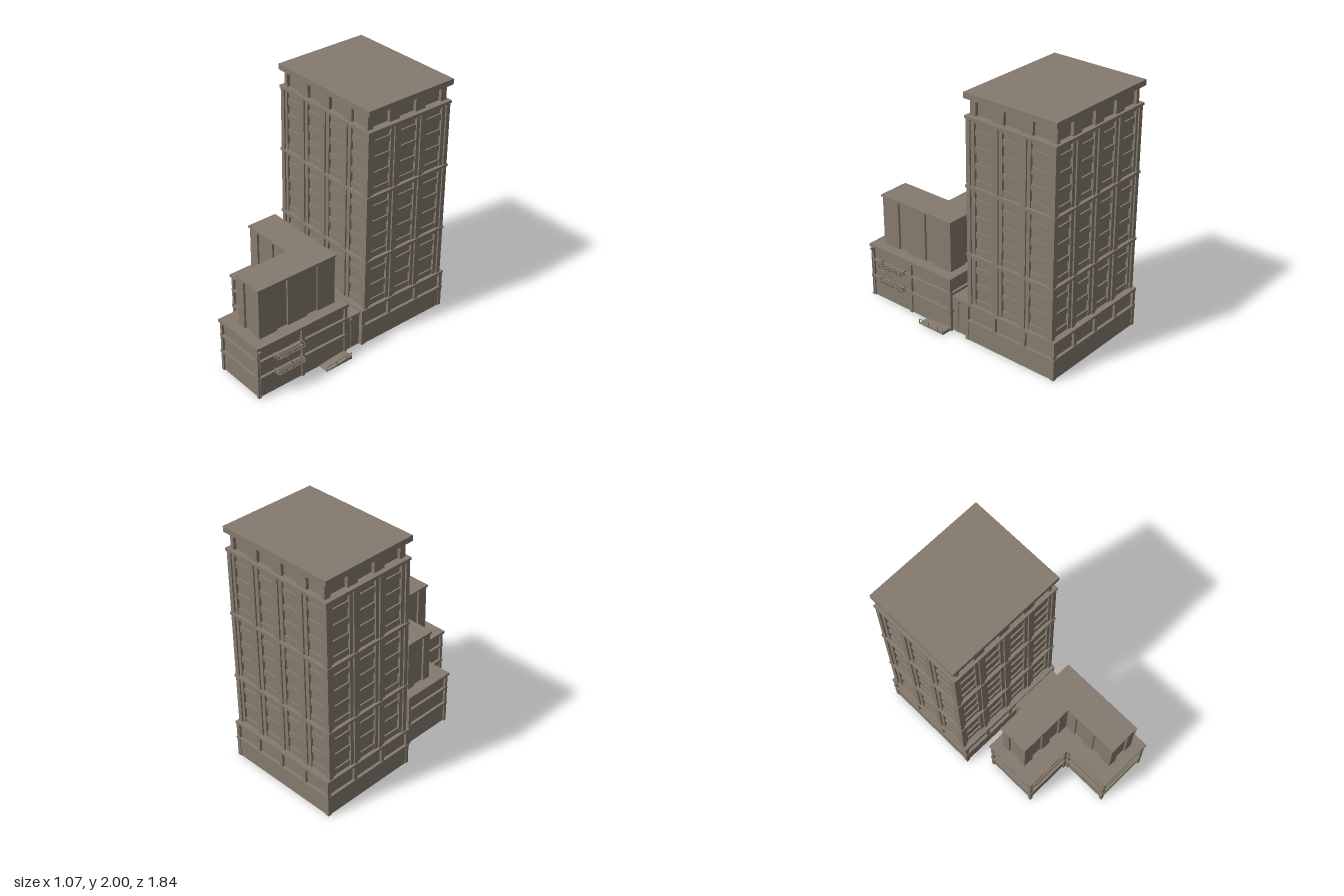
import * as THREE from 'three';
import { mergeGeometries } from 'three/addons/utils/BufferGeometryUtils.js';

const stone = new THREE.MeshStandardMaterial({ color: 0x857a6e });
stone.name = 'stone';

// Box geometry from its limits
function box(xa, xb, ya, yb, za, zb) {
  const g = new THREE.BoxGeometry(Math.abs(xb - xa), Math.abs(yb - ya), Math.abs(zb - za));
  return g.translate((xa + xb) / 2, (ya + yb) / 2, (za + zb) / 2);
}

// Square bar between two points
function bar(a, b, r = 0.002) {
  const p = new THREE.Vector3(...a), d = new THREE.Vector3(...b).sub(p);
  const g = new THREE.BoxGeometry(r * 2, r * 2, d.length());
  g.applyQuaternion(new THREE.Quaternion().setFromUnitVectors(new THREE.Vector3(0, 0, 1), d.clone().normalize()));
  return g.translate(p.x + d.x / 2, p.y + d.y / 2, p.z + d.z / 2);
}

// Footprints run front left, front right, back right, back left
const rect = (xa, xb, za, zb) => [[xa, zb], [xb, zb], [xb, za], [xa, za]];
const ell = (xa, xi, xb, za, zi, zb) => [[xa, zi], [xi, zi], [xi, zb], [xb, zb], [xb, za], [xa, za]];

// Edges of a footprint with direction and outward normal
function edges(pts) {
  return pts.map((p, i) => {
    const q = pts[(i + 1) % pts.length];
    const len = Math.hypot(q[0] - p[0], q[1] - p[1]);
    const d = [(q[0] - p[0]) / len, (q[1] - p[1]) / len];
    return { p, d, n: [-d[1], d[0]], len };
  });
}

// Box on a wall: ua..ub along it, ya..yb up, da..db outward
function onWall(e, ua, ub, ya, yb, da, db) {
  const at = (u, d) => [e.p[0] + e.d[0] * u + e.n[0] * d, e.p[1] + e.d[1] * u + e.n[1] * d];
  const a = at(ua, da), b = at(ub, db);
  return box(a[0], b[0], ya, yb, a[1], b[1]);
}

// Move a footprint outward (positive) or inward (negative)
function offset(pts, k) {
  const es = edges(pts);
  return pts.map((p, i) => {
    const a = es[i].n, b = es[(i + pts.length - 1) % pts.length].n;
    return [p[0] + (a[0] + b[0]) * k, p[1] + (a[1] + b[1]) * k];
  });
}

// Footprint extruded upward, optionally hollow
function slab(pts, ya, yb, wall = 0) {
  const toV = (q) => q.map(([x, z]) => new THREE.Vector2(x, -z));
  const s = new THREE.Shape(toV(pts));
  if (wall) s.holes.push(new THREE.Path(toV(offset(pts, -wall))));
  const g = new THREE.ExtrudeGeometry(s, { depth: yb - ya, bevelEnabled: false });
  return g.rotateX(-Math.PI / 2).translate(0, ya, 0);
}

// Posts at both ends of each wall of a footprint
function cornerPosts(pts, w, ya, yb, depth) {
  return edges(pts).flatMap((e) => [
    onWall(e, 0, w, ya, yb, -depth, 0),
    onWall(e, e.len - w, e.len, ya, yb, -depth, 0),
  ]);
}

export function createModel() {
  const model = new THREE.Group();
  model.name = 'buildingComplex';
  const add = (name, parts, parent) => {
    const m = new THREE.Mesh(mergeGeometries(parts.map((g) => (g.index ? g.toNonIndexed() : g))), stone);
    m.name = name;
    parent.add(m);
  };
  const group = (name) => {
    const g = new THREE.Group();
    g.name = name;
    model.add(g);
    return g;
  };

  // ---- Tower ----
  const tower = group('tower');
  const shaft = rect(-0.53, 0.45, -0.89, -0.10);
  const attic = rect(-0.50, 0.42, -0.875, -0.115);
  const base = rect(-0.535, 0.455, -0.915, -0.075);

  add('towerGroundWalls', [slab(offset(base, -0.006), 0, 0.17, 0.02), ...cornerPosts(base, 0.03, 0, 0.17, 0.03)], tower);
  const baseParts = [slab(offset(base, -0.02), 0.16, 0.31), ...cornerPosts(base, 0.03, 0.17, 0.31, 0.03)];
  for (const e of edges(base)) {
    const n = e.len > 0.9 ? 4 : 3;
    for (let i = 1; i < n; i++) {
      const u = (e.len * i) / n;
      baseParts.push(onWall(e, u - 0.015, u + 0.015, 0.17, 0.31, -0.03, 0));
    }
  }
  add('towerBase', baseParts, tower);
  add('towerBaseBands', [slab(offset(base, 0.004), 0.157, 0.178, 0.04), slab(offset(base, 0.004), 0.302, 0.322)], tower);

  add('towerCore', [slab(offset(shaft, -0.032), 0.32, 1.82)], tower);
  const piers = [...cornerPosts(shaft, 0.03, 0.32, 1.82, 0.035)], spandrels = [];
  const sections = [[0.32, 0.73, 3], [0.75, 1.28, 4], [1.30, 1.81, 4]];
  for (const e of edges(shaft)) {
    const n = e.len > 0.9 ? 4 : 3, pitch = n === 4 ? 0.24 : 0.25, half = n === 4 ? 0.07 : 0.077;
    let last = 0;
    for (let i = 0; i <= n; i++) {
      const c = e.len / 2 + (i - (n - 1) / 2) * pitch;
      const end = i < n ? c - half : e.len;
      // Plain pier with a raised strip in its middle
      const ua = i === 0 ? 0.012 : last, ub = i === n ? e.len - 0.012 : end;
      piers.push(onWall(e, ua, ub, 0.32, 1.82, -0.035, -0.012));
      if (i > 0 && i < n) piers.push(onWall(e, (last + end) / 2 - 0.018, (last + end) / 2 + 0.018, 0.32, 1.82, -0.03, 0));
      if (i < n) {
        for (const [ya, yb, floors] of sections) {
          const h = (yb - ya) / floors;
          for (let f = 0; f < floors; f++) {
            spandrels.push(onWall(e, c - half, c + half, ya + f * h, ya + f * h + 0.05, -0.035, -0.02));
          }
          spandrels.push(onWall(e, c - half, c + half, yb - 0.03, yb, -0.035, -0.016));
        }
      }
      last = c + half;
    }
  }
  add('towerPiers', piers, tower);
  add('towerSpandrels', spandrels, tower);
  add('towerBands', [0.73, 1.28, 1.808].map((y) => slab(offset(shaft, 0.007), y, y + 0.02)), tower);

  const atticParts = [slab(offset(attic, -0.025), 1.82, 1.96)];
  for (const e of edges(attic)) {
    const n = e.len > 0.9 ? 4 : 3, pitch = n === 4 ? 0.24 : 0.25;
    for (let i = 0; i <= n; i++) {
      const u = e.len / 2 + (i - n / 2) * pitch;
      const ua = i === 0 ? 0 : u - 0.048, ub = i === n ? e.len : u + 0.048;
      atticParts.push(onWall(e, ua, ub, 1.82, 1.96, -0.03, 0));
    }
  }
  add('towerAttic', atticParts, tower);
  add('towerRoof', [slab(rect(-0.54, 0.46, -0.90, -0.09), 1.955, 2.0)], tower);

  // ---- Low L-shaped building ----
  const annex = group('annex');
  const low = ell(-0.40, 0.003, 0.453, 0.073, 0.51, 0.91);
  add('annexGroundWalls', [slab(offset(low, -0.012), 0, 0.17, 0.02), ...cornerPosts(low, 0.024, 0, 0.17, 0.024)], annex);
  const floors = [slab(offset(low, -0.018), 0.16, 0.45), ...cornerPosts(low, 0.024, 0.16, 0.45, 0.024)];
  for (const e of edges(low)) {
    if (e.len > 0.6) floors.push(onWall(e, e.len / 2 - 0.013, e.len / 2 + 0.013, 0, 0.45, -0.024, 0));
  }
  add('annexFloors', floors, annex);
  add('annexBands', [slab(offset(low, 0.004), 0.162, 0.184, 0.04), slab(offset(low, 0.003), 0.314, 0.33)], annex);
  add('annexCornice', [slab(offset(low, 0.009), 0.438, 0.46)], annex);

  // ---- Upper storey block ----
  const upper = ell(-0.327, 0.13, 0.376, 0.134, 0.372, 0.833);
  const upperParts = [slab(offset(upper, -0.016), 0.46, 0.87)];
  for (const e of edges(upper)) {
    const n = Math.max(1, Math.round(e.len / 0.24) - (e.len > 0.6 ? 1 : 0));
    const pitch = (e.len + 0.02) / (n + 0.6);
    let last = 0;
    for (let i = 0; i <= n; i++) {
      const c = e.len / 2 + (i - (n - 1) / 2) * pitch;
      const end = i < n ? c - 0.05 : e.len;
      upperParts.push(onWall(e, last, end, 0.46, 0.87, -0.02, 0));
      last = c + 0.05;
    }
  }
  add('upperWalls', upperParts, annex);
  add('upperRoof', [slab(offset(upper, 0.009), 0.868, 0.884)], annex);

  // ---- Connecting passage with drainpipes ----
  const link = group('link');
  add('linkWalls', [box(0.03, 0.042, 0, 0.29, -0.075, 0.08), box(0.41, 0.422, 0, 0.29, -0.075, 0.08)], link);
  add('linkRoof', [box(0.02, 0.43, 0.285, 0.3, -0.08, 0.08)], link);
  const pipe = (x, z, top) => [
    new THREE.CylinderGeometry(0.004, 0.004, top - 0.02, 8).translate(x, (top + 0.02) / 2, z),
    box(x - 0.009, x + 0.009, top - 0.015, top, z - 0.009, z + 0.009),
    bar([x, 0.024, z], [x + 0.012, 0.018, z], 0.004),
  ];
  add('drainpipes', [...pipe(0.43, 0.016, 0.28), ...pipe(0.462, 0.896, 0.43)], link);

  // ---- Fire escape ----
  const escape = group('fireEscape');
  const rails = [], decks = [];
  for (const y of [0.19, 0.33]) {
    decks.push(bar([0.52, y, 0.53], [0.52, y, 0.77]), bar([0.46, y, 0.53], [0.46, y, 0.77]));
    for (let i = 0; i <= 16; i++) {
      const z = 0.53 + i * 0.015;
      decks.push(box(0.455, 0.52, y - 0.002, y + 0.002, z - 0.003, z + 0.003));
      rails.push(bar([0.52, y, z], [0.52, y + 0.03, z], 0.0013));
    }
    rails.push(bar([0.52, y + 0.03, 0.53], [0.52, y + 0.03, 0.77]));
    for (const z of [0.53, 0.77]) {
      rails.push(bar([0.45, y + 0.03, z], [0.52, y + 0.03, z]));
      for (let i = 0; i < 5; i++) rails.push(bar([0.46 + i * 0.012, y, z], [0.46 + i * 0.012, y + 0.03, z], 0.0013));
    }
  }
  add('escapePlatforms', decks, escape);
  add('escapeRailings', rails, escape);
  const stair = [0.483, 0.515].map((x) => bar([x, 0.33, 0.71], [x, 0.19, 0.60], 0.003));
  for (let i = 1; i < 10; i++) {
    const y = 0.19 + i * 0.014, z = 0.60 + i * 0.011;
    stair.push(box(0.483, 0.515, y - 0.001, y + 0.001, z - 0.005, z + 0.005));
  }
  add('escapeStair', stair, escape);

  // ---- Entrance ramp ----
  const ramp = group('ramp');
  const side = new THREE.Shape([[-0.335, 0], [-0.085, 0], [-0.085, 0.024], [-0.14, 0.024], [-0.335, 0.004]].map((p) => new THREE.Vector2(...p)));
  const wedge = new THREE.ExtrudeGeometry(side, { depth: 0.09, bevelEnabled: false }).rotateY(Math.PI / 2).translate(0.44, 0, 0);
  add('rampSlope', [wedge], ramp);
  const rampRail = [bar([0.53, 0.04, 0.33], [0.53, 0.058, 0.14]), bar([0.53, 0.058, 0.14], [0.53, 0.058, 0.09])];
  for (const [z, y] of [[0.33, 0.04], [0.235, 0.05], [0.14, 0.058], [0.09, 0.058]]) rampRail.push(bar([0.53, 0, z], [0.53, y, z]));
  add('rampRailing', rampRail, ramp);

  return model;
}
